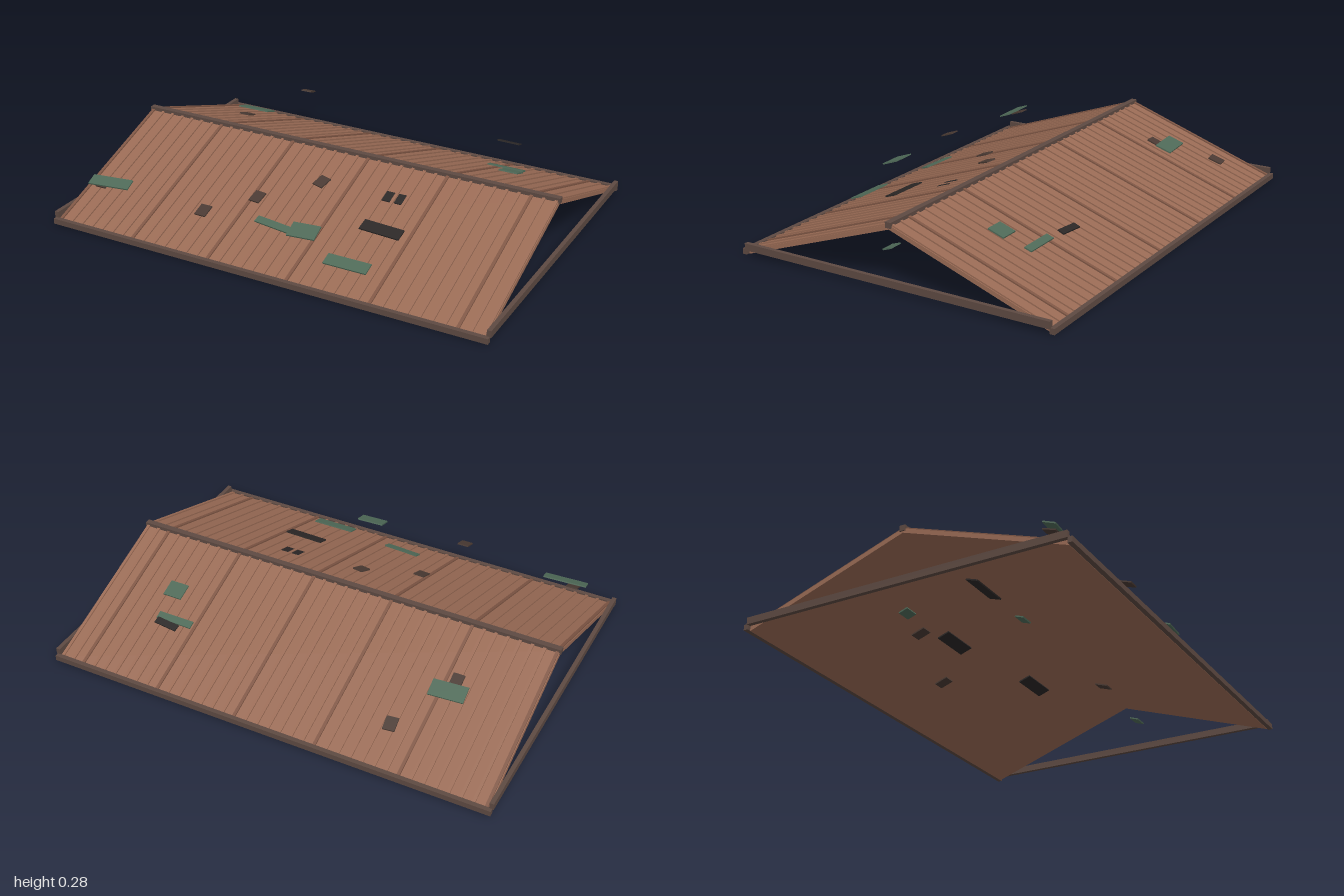
import * as THREE from 'three';

const mat = (color) => new THREE.MeshStandardMaterial({ color, flatShading: true });

export function createModel() {
  const roof = new THREE.Group();
  roof.name = 'gableRoof';
  const sheet = mat(0x9a6b55), rib = mat(0x805745), beam = mat(0x5e4a42);
  const green = mat(0x4f6a58), black = mat(0x2b2726), brown = mat(0x4a3a33);

  function box(name, material, w, h, d, x, y, z, parent = roof) {
    const mesh = new THREE.Mesh(new THREE.BoxGeometry(w, h, d), material);
    mesh.name = name;
    mesh.position.set(x, y, z);
    parent.add(mesh);
    return mesh;
  }

  // Two sloping sheets with raised ribs
  const run = 0.71, rise = 0.248, pitch = Math.atan2(rise, run);
  const length = Math.hypot(run, rise);
  for (const side of [1, -1]) {
    const slope = new THREE.Group();
    slope.name = side > 0 ? 'frontSlope' : 'backSlope';
    slope.position.set(0, 0.137, side * run / 2);
    slope.rotation.x = side * pitch;
    roof.add(slope);
    box('roofSheet', sheet, 1.96, 0.018, length, 0, -0.002, 0, slope);
    const count = 38;
    for (let i = 0; i < count; i++) {
      const x = -0.97 + (1.94 * i) / (count - 1);
      box('roofRib', i % 7 === 0 ? rib : sheet, 0.013, 0.006, length, x, 0.01, 0, slope);
    }
  }

  // Ridge cap, eave boards and gable tie beams
  box('ridgeBeam', beam, 1.97, 0.024, 0.026, 0, 0.268, 0);
  for (const s of [1, -1]) {
    box('eaveBeam', beam, 1.99, 0.024, 0.02, 0, 0.016, s * 0.717);
    box('tieBeam', beam, 0.018, 0.03, 1.42, s * 0.991, 0.039, 0);
  }

  // Loose scraps hovering above and below the slopes, tilted to match them;
  // each spot is x, y, z and an optional turn
  function scatter(name, material, w, d, spots) {
    for (const [x, y, z, turn = 0] of spots) {
      const piece = box(name, material, w, 0.006, d, x, y, z);
      piece.rotation.set(Math.sign(z) * pitch, turn, 0);
    }
  }
  scatter('brownTile', brown, 0.05, 0.06, [
    [0.01, 0.21, 0.2, -0.25], [-0.21, 0.155, 0.355, -0.08], [-0.84, 0.165, 0.565],
    [-0.305, 0.185, 0.615], [-0.535, 0.21, -0.64, 0.1], [-0.655, 0.2, -0.283],
    [0.42, 0.12, 0.15], [-0.06, 0.07, -0.39], [-0.52, 0.07, -0.21],
  ]);
  scatter('blackTile', black, 0.042, 0.055, [[0.315, 0.205, 0.185], [0.372, 0.205, 0.185]]);
  scatter('blackPlank', black, 0.18, 0.055, [
    [0.38, 0.158, 0.375, -0.05], [-0.68, 0.1, 0.18], [0.25, 0.113, -0.11], [-0.31, 0.108, -0.18],
  ]);
  scatter('blackStrip', black, 0.105, 0.03, [[0.55, 0.219, -0.525, -0.1]]);
  scatter('greenPlank', green, 0.19, 0.055, [[-0.8, 0.178, 0.572, 0.1], [0.34, 0.098, 0.59]]);
  scatter('greenStrip', green, 0.165, 0.034, [[-0.045, 0.135, 0.505, -0.11], [0.585, 0.15, -0.415]]);
  scatter('greenPanel', green, 0.12, 0.075, [[0.145, 0.19, 0.585, 0.08]]);
  scatter('greenWidePanel', green, 0.15, 0.075, [[-0.65, 0.2, -0.357, 0.06]]);
  scatter('greenSquare', green, 0.085, 0.075, [[0.655, 0.2, -0.29]]);
  scatter('greenChip', green, 0.065, 0.042, [
    [0.77, 0.08, 0.15], [-0.23, 0.185, 0.1], [-0.6, 0.13, -0.225],
  ]);
  return roof;
}
